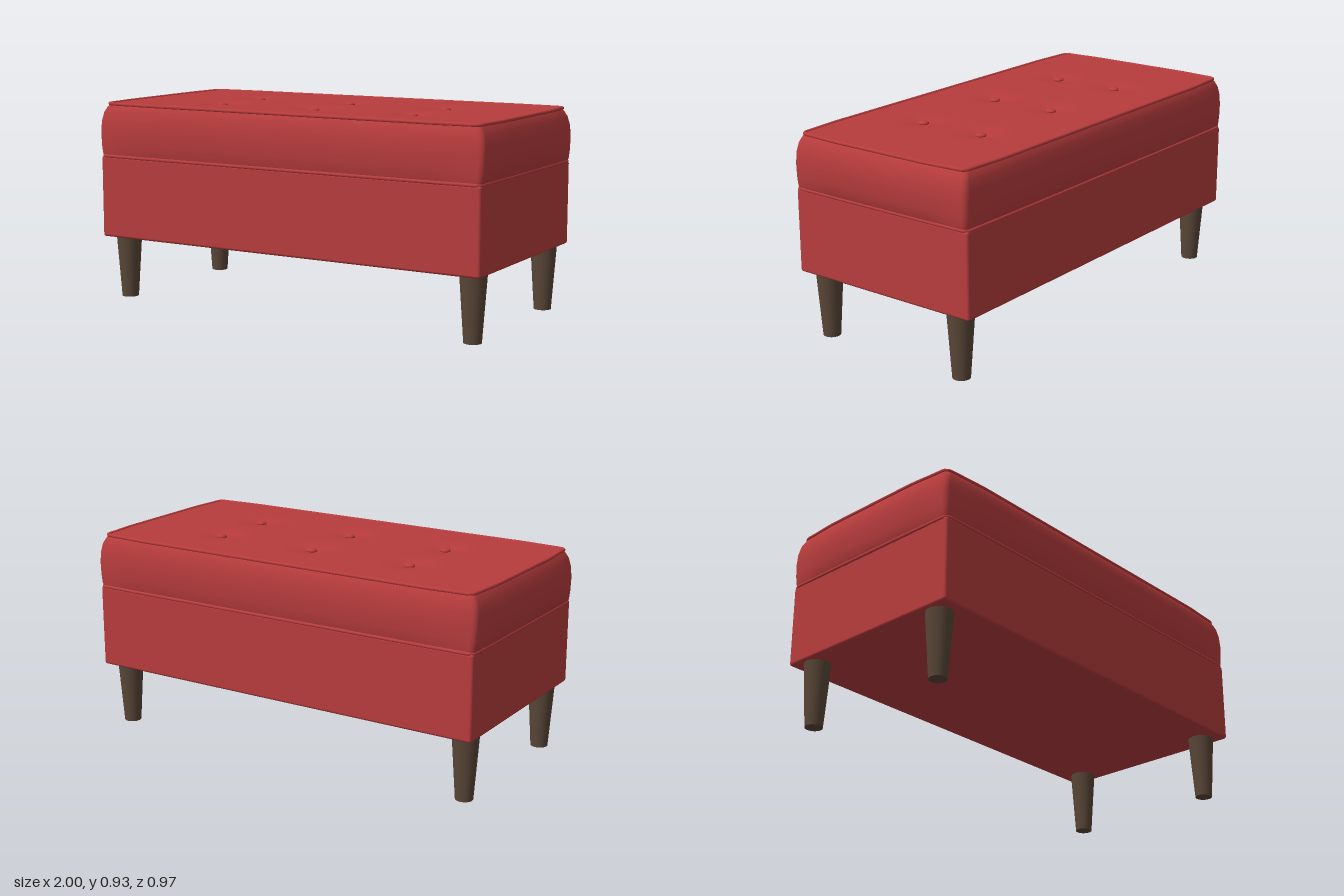
import * as THREE from 'three';
import { RoundedBoxGeometry } from 'three/addons/geometries/RoundedBoxGeometry.js';

const BUTTONS = [-0.5, 0, 0.5].flatMap((x) => [[x, -0.16], [x, 0.16]]);

// Bows the sides of a rectangle outward, fading to nothing at its corners
function bowOut(x, z, hx, hz, bow) {
  const fade = (t, start) => 1 - THREE.MathUtils.smoothstep(Math.abs(t), start, 1);
  return [
    x * (1 + (bow / hx) * fade(z / hz, 0.5)),
    z * (1 + (bow / hz) * fade(x / hx, 0.75)),
  ];
}

// Points around a rounded, bowed rectangle, running from +x towards +z
function outline(hx, hz, bow, r = 0.025) {
  const base = [];
  const corners = [[1, 1, 0], [-1, 1, 1], [-1, -1, 2], [1, -1, 3]];
  for (const [sx, sz, quarter] of corners) {
    for (let k = 0; k <= 5; k++) {
      const a = (quarter + k / 5) * Math.PI / 2;
      base.push([sx * (hx - r) + r * Math.cos(a), sz * (hz - r) + r * Math.sin(a)]);
    }
  }
  const points = [];
  base.forEach(([x, z], i) => {
    const [nx, nz] = base[(i + 1) % base.length];
    const steps = i % 6 === 5 ? 20 : 1; // the straight sides are subdivided
    for (let s = 0; s < steps; s++) {
      const t = s / steps;
      points.push(bowOut(x + (nx - x) * t, z + (nz - z) * t, hx, hz, bow));
    }
  });
  return points;
}

// Skin over a stack of outlines, each given as [y, hx, hz, bow]
function loft(sections) {
  const positions = [];
  const index = [];
  const n = outline(1, 1, 0).length;
  sections.forEach(([y, hx, hz, bow], i) => {
    outline(hx, hz, bow).forEach(([x, z], j) => {
      positions.push(x, y, z);
      if (i === sections.length - 1) return;
      const a = i * n + j, b = i * n + (j + 1) % n;
      index.push(a, a + n, b, b, a + n, b + n);
    });
  });
  const g = new THREE.BufferGeometry();
  g.setAttribute('position', new THREE.Float32BufferAttribute(positions, 3));
  g.setIndex(index);
  g.computeVertexNormals();
  return g;
}

// Cushion top height, with a soft dimple around every button
function topHeight(x, z) {
  let y = 0.921;
  for (const [bx, bz] of BUTTONS) {
    const d = Math.hypot(x - bx, z - bz);
    y -= 0.014 * Math.exp(-((d / 0.07) ** 2));
  }
  return y;
}

function cushionTop(hx, hz, bow, r = 0.025) {
  const g = new THREE.PlaneGeometry(2 * hx, 2 * hz, 96, 48).rotateX(-Math.PI / 2);
  const p = g.attributes.position;
  for (let i = 0; i < p.count; i++) {
    let x = p.getX(i), z = p.getZ(i);
    // Pull the corners in to the rounding radius
    const cx = Math.sign(x) * (hx - r), cz = Math.sign(z) * (hz - r);
    const d = Math.hypot(x - cx, z - cz);
    if (Math.abs(x) > hx - r && Math.abs(z) > hz - r && d > r) {
      x = cx + (x - cx) * r / d;
      z = cz + (z - cz) * r / d;
    }
    [x, z] = bowOut(x, z, hx, hz, bow);
    p.setXYZ(i, x, topHeight(x, z), z);
  }
  g.computeVertexNormals();
  return g;
}

function piping(y, hx, hz, bow, radius) {
  const points = outline(hx, hz, bow).map(([x, z]) => new THREE.Vector3(x, y, z));
  const curve = new THREE.CatmullRomCurve3(points, true);
  return new THREE.TubeGeometry(curve, 320, radius, 10, true);
}

export function createModel() {
  const model = new THREE.Group();
  const fabric = new THREE.MeshStandardMaterial({ color: 0xb83c3d });
  fabric.name = 'red fabric';
  const wood = new THREE.MeshStandardMaterial({ color: 0x5a4738 });
  wood.name = 'dark wood';

  const add = (name, geometry, material, x = 0, y = 0, z = 0) => {
    const mesh = new THREE.Mesh(geometry, material);
    mesh.name = name;
    mesh.position.set(x, y, z);
    model.add(mesh);
    return mesh;
  };

  // Upholstered box
  add('base', new RoundedBoxGeometry(1.95, 0.382, 0.945, 4, 0.012), fabric, 0, 0.486, 0);

  // Cushion with bulging sides and a buttoned top
  add('cushionSides', loft([
    [0.672, 0.972, 0.467, 0],
    [0.69, 0.979, 0.47, 0.004],
    [0.73, 0.983, 0.472, 0.009],
    [0.79, 0.985, 0.472, 0.013],
    [0.84, 0.982, 0.469, 0.013],
    [0.88, 0.973, 0.462, 0.012],
    [0.905, 0.96, 0.452, 0.012],
    [0.917, 0.952, 0.443, 0.012],
  ]), fabric);
  add('cushionTop', cushionTop(0.953, 0.444, 0.012), fabric);

  // Piping along the two seams
  add('lowerPiping', piping(0.677, 0.972, 0.468, 0.002, 0.008), fabric);
  add('upperPiping', piping(0.919, 0.953, 0.444, 0.012, 0.008), fabric);

  // Tufting buttons
  const button = new THREE.SphereGeometry(0.024, 20, 12).scale(1, 0.45, 1);
  for (const [x, z] of BUTTONS) add('button', button, fabric, x, topHeight(x, z) + 0.005, z);

  // Tapered legs
  const leg = new THREE.CylinderGeometry(0.06, 0.039, 0.3, 32);
  for (const x of [-0.9, 0.9]) {
    for (const z of [-0.37, 0.37]) add('leg', leg, wood, x, 0.15, z);
  }
  return model;
}
